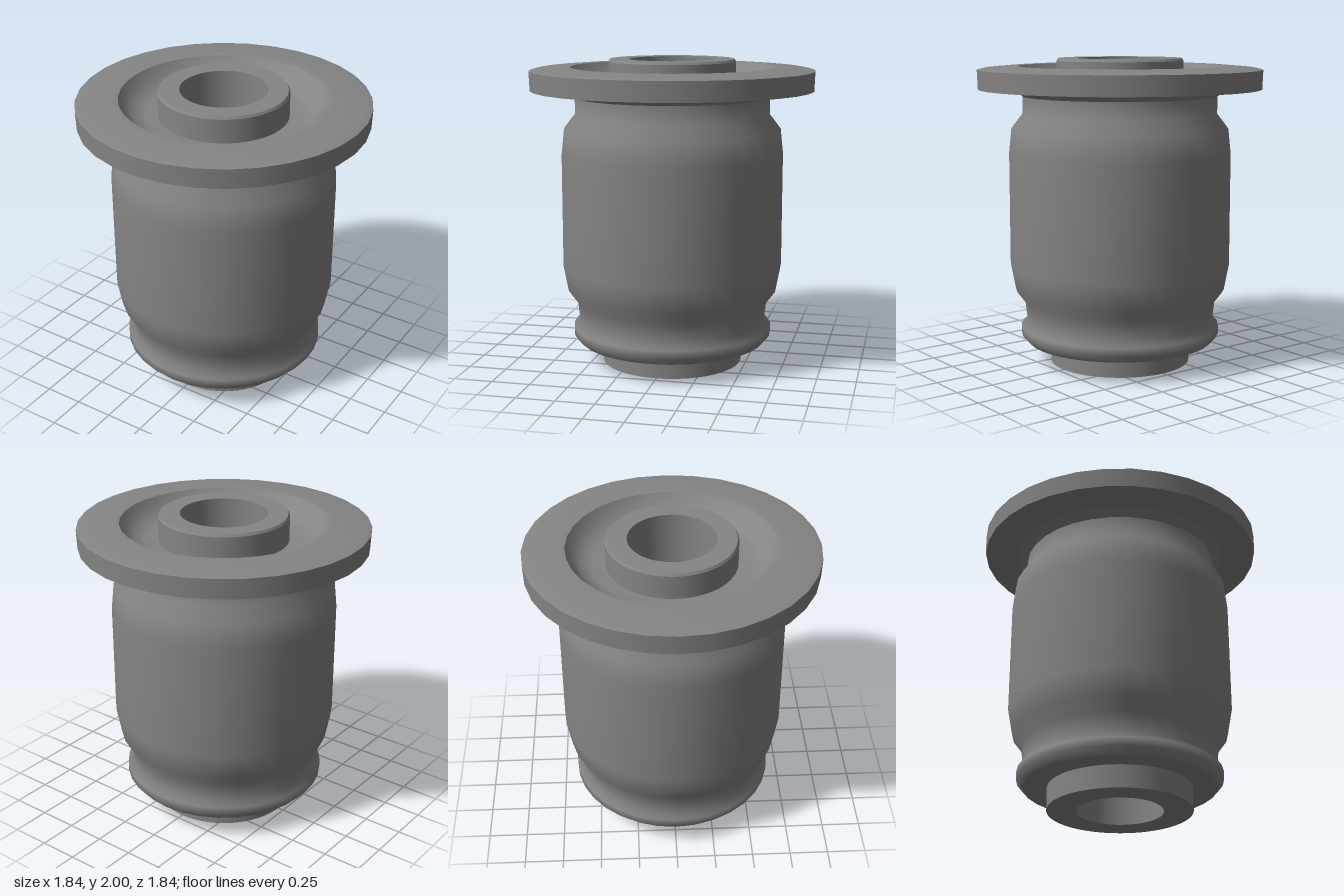
import * as THREE from 'three';

const steel = new THREE.MeshStandardMaterial({ color: 0x858585 });
steel.name = 'grey';

// One group per part; each section is a smooth [radius, height] run,
// and the joins between sections stay sharp.
function turned(name, sides, sections) {
  const group = new THREE.Group();
  group.name = name;
  sections.forEach((points, i) => {
    const profile = points.map(([r, y]) => new THREE.Vector2(r, y));
    const mesh = new THREE.Mesh(new THREE.LatheGeometry(profile, sides), steel);
    mesh.name = `${name}Surface${i + 1}`;
    group.add(mesh);
  });
  return group;
}

export function createModel() {
  const model = new THREE.Group();
  model.name = 'bushing';

  // Inner sleeve with a through hole and a slightly chamfered top
  model.add(turned('innerSleeve', 64, [
    [[0.275, 0], [0.46, 0]],
    [[0.46, 0], [0.46, 0.3]],
    [[0.46, 0.3], [0.41, 0.4]],
    [[0.41, 0.4], [0.41, 1.985]],
    [[0.41, 1.985], [0.4, 2]],
    [[0.4, 2], [0.275, 2]],
    [[0.275, 2], [0.275, 0]],
  ]));

  // Outer body: bottom face, bead, waist, barrel and neck
  model.add(turned('body', 32, [
    [[0.44, 0.145], [0.615, 0.145]],
    [[0.615, 0.145], [0.655, 0.19], [0.655, 0.245], [0.615, 0.28], [0.63, 0.41],
      [0.69, 0.49], [0.722, 0.66], [0.722, 1.39], [0.705, 1.55], [0.632, 1.645], [0.632, 1.757]],
  ]));

  // Flange: flared underside, rim, top ring and dished recess
  model.add(turned('flange', 32, [
    [[0.632, 1.757], [0.695, 1.803]],
    [[0.695, 1.803], [0.917, 1.803]],
    [[0.917, 1.803], [0.922, 1.928]],
    [[0.922, 1.928], [0.88, 1.938], [0.7, 1.953], [0.655, 1.95]],
    [[0.655, 1.95], [0.62, 1.9], [0.57, 1.855], [0.5, 1.832], [0.4, 1.83]],
  ]));

  return model;
}
